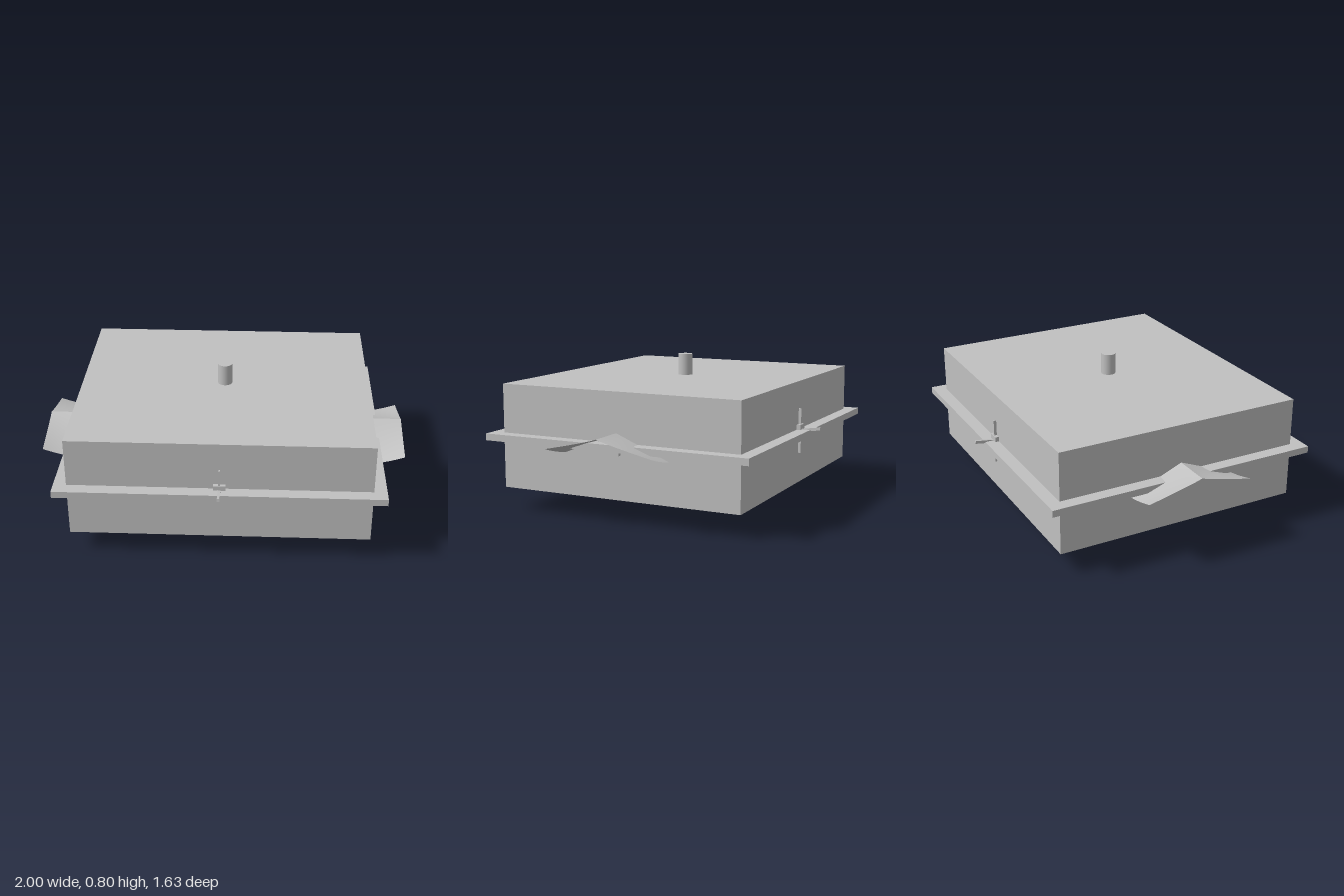
import * as THREE from 'three';

export function createModel() {
  const group = new THREE.Group();
  const grey = new THREE.MeshStandardMaterial({ color: 0xc0c0c0, side: THREE.DoubleSide });
  grey.name = 'light grey';

  const add = (name, geometry, x, y, z, parent = group) => {
    const mesh = new THREE.Mesh(geometry, grey);
    mesh.name = name;
    mesh.position.set(x, y, z);
    parent.add(mesh);
    return mesh;
  };
  const box = (w, h, d) => new THREE.BoxGeometry(w, h, d);

  // Main block with the flange around its middle
  add('body', box(1.6, 0.563, 1.38), 0, 0.405, 0);
  add('flange', box(1.738, 0.037, 1.52), 0, 0.404, 0);

  // Round pins above and below
  const pin = new THREE.CylinderGeometry(0.04, 0.04, 0.123, 32);
  add('topPin', pin, 0, 0.743, 0);
  add('bottomPin', pin, 0, 0.0615, 0);

  // Half of a bent sheet: falls from the ridge, twisting slightly along x
  const wingHalf = (sx, sz) => {
    const g = new THREE.PlaneGeometry(1, 1, 10, 12);
    const p = g.attributes.position;
    for (let i = 0; i < p.count; i++) {
      const t = p.getX(i) + 0.5, s = p.getY(i) + 0.5;
      const drop = 0.123 - 0.03 * t - 0.02 * t * t;
      const bend = Math.pow(s, 1 - 0.12 * t);
      p.setXYZ(i, sx * (0.8 + 0.2 * t), 0.473 - drop * bend, sz * 0.3 * s);
    }
    // Keep the upper face wound outward
    if (sx * sz > 0) {
      const idx = g.index.array;
      for (let i = 0; i < idx.length; i += 3) [idx[i], idx[i + 1]] = [idx[i + 1], idx[i]];
    }
    g.computeVertexNormals();
    return g;
  };

  for (const s of [1, -1]) {
    const side = s > 0 ? 'left' : 'right';
    add(side + 'WingFront', wingHalf(s, 1), 0, 0, 0);
    add(side + 'WingBack', wingHalf(s, -1), 0, 0, 0);
    add(side + 'Bracket', box(0.025, 0.09, 0.05), s * 0.808, 0.404, 0);

    // Latch on the front and back faces
    const latch = new THREE.Group();
    latch.name = s > 0 ? 'frontLatch' : 'backLatch';
    latch.rotation.y = s > 0 ? 0 : Math.PI;
    group.add(latch);
    add('bracket', box(0.065, 0.09, 0.03), 0, 0.404, 0.696, latch);
    add('rod', box(0.009, 0.246, 0.018), 0, 0.413, 0.696, latch);
    const lever = add('lever', box(0.014, 0.016, 0.115), 0, 0.424, 0.758, latch);
    lever.rotation.x = -0.14;
  }
  return group;
}
